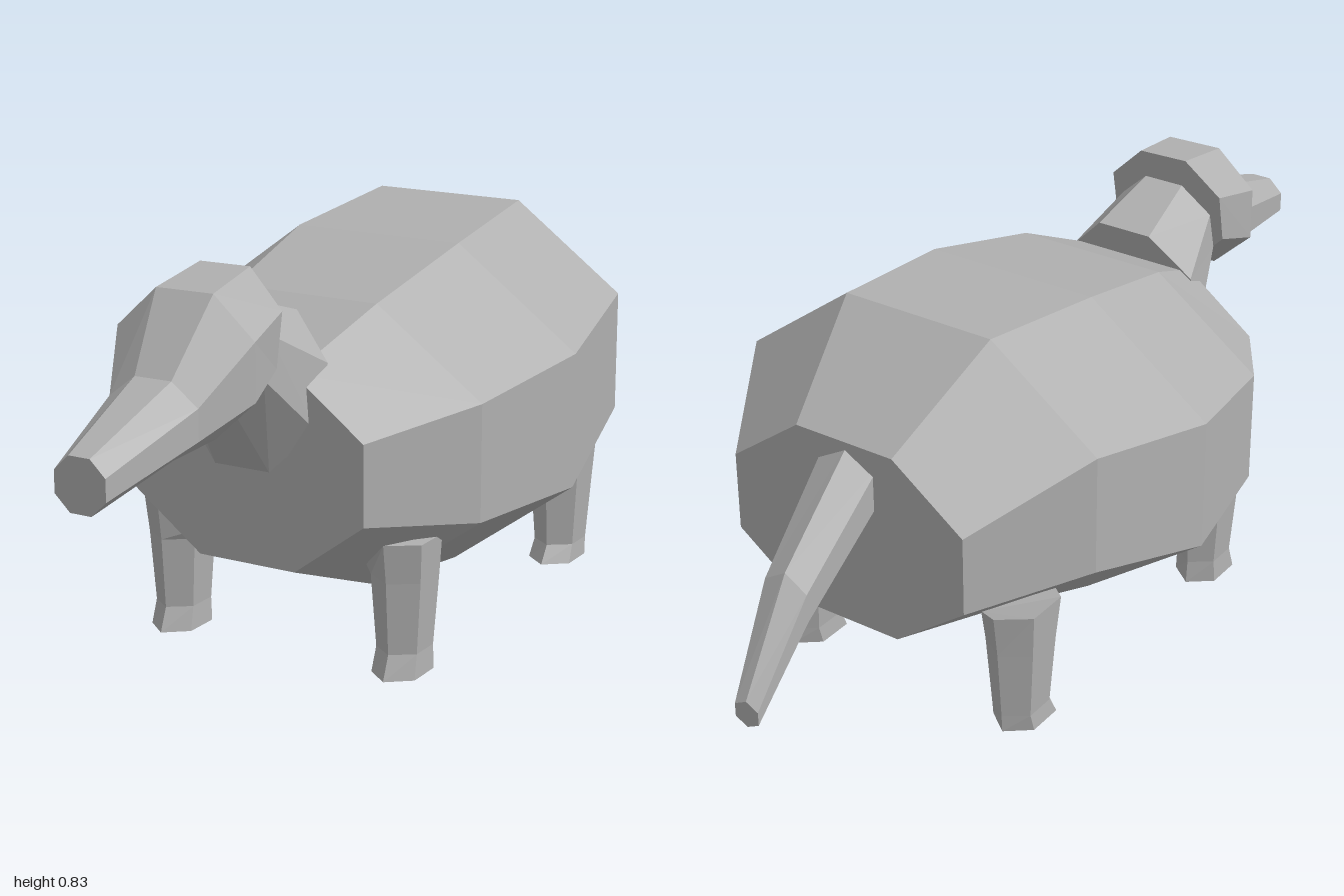
import * as THREE from 'three';

const hide = new THREE.MeshStandardMaterial({ color: 0xb0b0b0 });
hide.name = 'grey hide';

// Skin a list of equal-length rings and close both ends, with flat facets
function loft(name, rings) {
  const n = rings[0].length, pos = rings.flat(2), idx = [];
  for (let i = 0; i < rings.length - 1; i++) {
    for (let j = 0; j < n; j++) {
      const a = i * n + j, b = i * n + (j + 1) % n;
      idx.push(a, a + n, b, b, a + n, b + n);
    }
  }
  const last = (rings.length - 1) * n;
  for (let k = 1; k < n - 1; k++) {
    idx.push(0, k, k + 1, last, last + k + 1, last + k);
  }
  const indexed = new THREE.BufferGeometry();
  indexed.setAttribute('position', new THREE.Float32BufferAttribute(pos, 3));
  indexed.setIndex(idx);
  const geometry = indexed.toNonIndexed();
  geometry.computeVertexNormals();
  const mesh = new THREE.Mesh(geometry, hide);
  mesh.name = name;
  return mesh;
}

// Octagon across z with flat top; lean shifts z with height, turn with x
function octagon([cx, cy, z, rx, ry, lean = 0, turn = 0]) {
  return Array.from({ length: 8 }, (_, k) => {
    const a = (k + 0.5) * Math.PI / 4, s = 1 / Math.cos(Math.PI / 8);
    const x = Math.cos(a) * s * rx, y = Math.sin(a) * s * ry;
    return [cx + x, cy + y, z + lean * y + turn * x];
  });
}

// Hexagon across z with a ridge on top
function ridged([cx, cy, z, rx, ry]) {
  return Array.from({ length: 6 }, (_, k) => {
    const a = Math.PI / 6 + k * Math.PI / 3;
    return [cx + Math.cos(a) / Math.cos(Math.PI / 6) * rx, cy + Math.sin(a) * ry, z];
  });
}

// Leg of horizontal hexagons [y, z, rx, rz]; the inner top corners drop
function leg(name, side, rings, drop) {
  const cx = side * 0.265;
  return loft(name, rings.map(([y, z, rx, rz], i) =>
    Array.from({ length: 6 }, (_, k) => {
      const a = Math.PI / 6 + k * Math.PI / 3;
      const x = Math.cos(a) / Math.cos(Math.PI / 6) * rx;
      const inner = i === 0 && x * side < -0.01;
      return [cx + x, y - (inner ? drop : 0), z - Math.sin(a) * rz];
    })));
}

export function createModel() {
  const model = new THREE.Group();
  model.name = 'animal';

  // Barrel body
  model.add(loft('body', [
    [0, 0.422, 0.43, 0.265, 0.199],
    [0, 0.43, 0.21, 0.40, 0.29],
    [0, 0.453, -0.08, 0.458, 0.338],
    [0, 0.525, -0.39, 0.408, 0.302],
    [0, 0.465, -0.625, 0.27, 0.20],
  ].map(octagon)));

  // Neck flaring into the shoulders
  model.add(loft('neck', [
    [0.003, 0.675, 0.525, 0.11, 0.10, -0.25],
    [0, 0.572, 0.39, 0.15, 0.15, -0.35],
  ].map(octagon)));

  // Head and long snout, turned slightly aside
  model.add(loft('head', [
    [0.035, 0.542, 1.0, 0.055, 0.052],
    [0.022, 0.602, 0.76, 0.095, 0.074, 0, -0.03],
    [0.011, 0.676, 0.64, 0.147, 0.137, 0, -0.05],
    [0.003, 0.708, 0.52, 0.131, 0.127, -0.2, -0.05],
  ].map(octagon)));

  // Drooping tail
  model.add(loft('tail', [
    [0, 0.59, -0.6, 0.066, 0.075],
    [-0.028, 0.443, -0.84, 0.049, 0.06],
    [-0.058, 0.297, -1.0, 0.027, 0.028],
  ].map(ridged)));

  // Two pairs of legs
  for (const side of [-1, 1]) {
    const label = side > 0 ? 'left' : 'right';
    model.add(leg(label + 'FrontLeg', side, [
      [0.282, 0.272, 0.062, 0.083],
      [0.2, 0.268, 0.056, 0.076],
      [0.05, 0.268, 0.046, 0.066],
      [0, 0.276, 0.049, 0.078],
    ], 0.06));
    model.add(leg(label + 'RearLeg', side, [
      [0.312, -0.432, 0.062, 0.092],
      [0.22, -0.434, 0.056, 0.078],
      [0.07, -0.434, 0.046, 0.066],
      [0.032, -0.42, 0.049, 0.078],
    ], 0.03));
  }
  return model;
}
